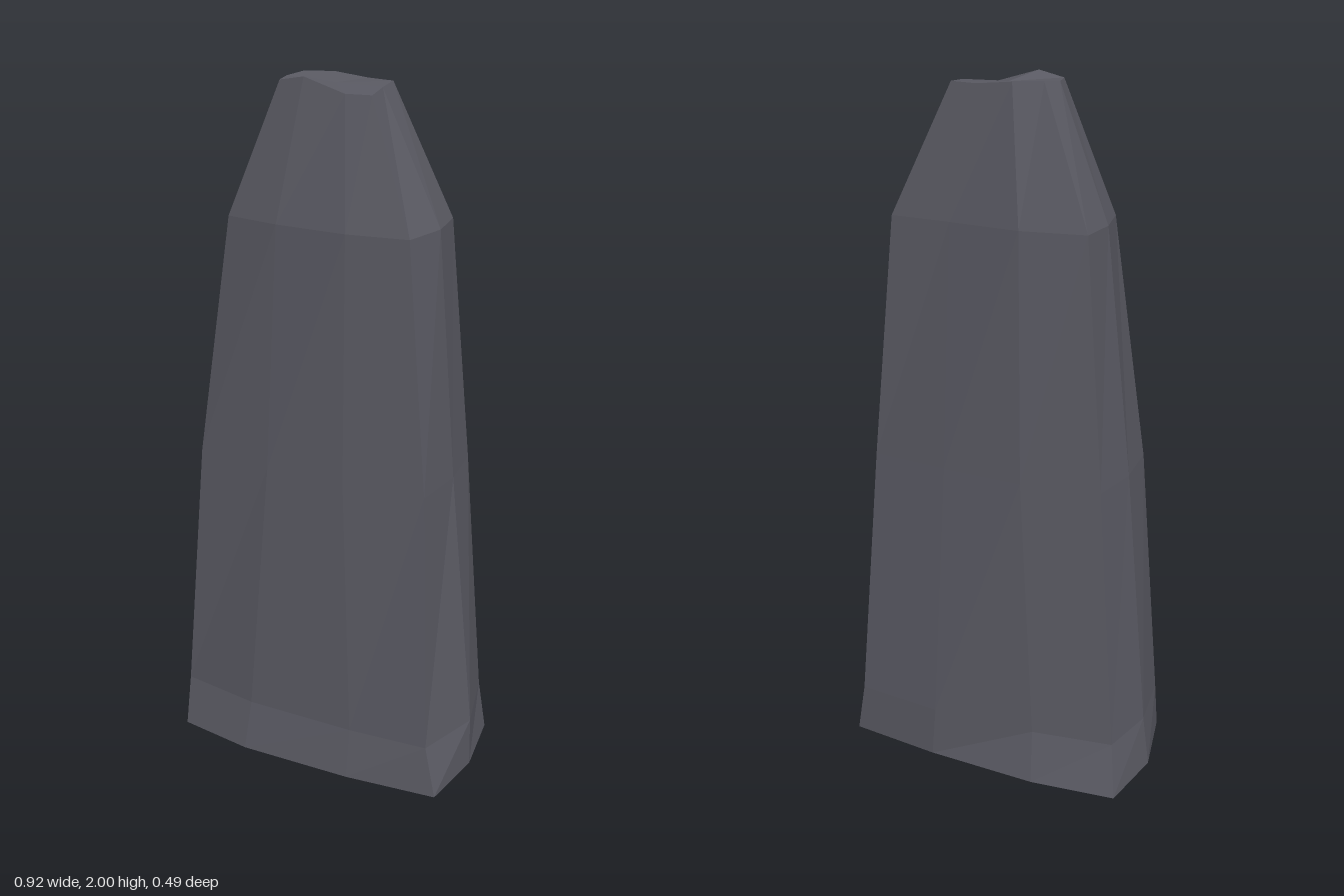
import * as THREE from 'three';

export function createModel() {
  const stone = new THREE.MeshStandardMaterial({ color: 0x5a5a63, flatShading: true });
  stone.name = 'slate grey';

  // Cross-sections from the ground up: [x, z] pairs running left, back, right, front
  const sections = [
    [[-0.46, -0.01], [-0.43, -0.22], [-0.18, -0.247], [0.15, -0.235], [0.425, -0.205],
      [0.458, 0], [0.432, 0.202], [0.16, 0.233], [-0.18, 0.243], [-0.41, 0.21]],
    [[-0.44, -0.01], [-0.405, -0.18], [-0.17, -0.215], [0.14, -0.23], [0.4, -0.205],
      [0.455, 0], [0.395, 0.19], [0.16, 0.21], [-0.17, 0.215], [-0.41, 0.18]],
    [[-0.37, -0.01], [-0.345, -0.16], [-0.12, -0.195], [0.12, -0.185], [0.35, -0.165],
      [0.37, -0.01], [0.355, 0.155], [0.12, 0.18], [-0.12, 0.178], [-0.355, 0.15]],
    [[-0.29, -0.01], [-0.283, -0.135], [-0.1, -0.165], [0.11, -0.148], [0.29, -0.14],
      [0.31, -0.01], [0.283, 0.125], [0.11, 0.15], [-0.1, 0.143], [-0.262, 0.117]],
    [[-0.147, -0.01], [-0.13, -0.073], [-0.055, -0.107], [0.05, -0.104], [0.13, -0.088],
      [0.137, -0.01], [0.143, 0.065], [0.07, 0.075], [-0.05, 0.074], [-0.128, 0.062]],
  ];
  const levels = [0, 0.15, 0.92, 1.62];
  // The broken tip has an uneven rim
  const rim = [1.985, 1.99, 1.99, 1.98, 1.98, 1.975, 1.965, 1.965, 2, 1.985];
  const n = rim.length;

  const positions = [];
  sections.forEach((ring, k) => ring.forEach(([x, z], i) => positions.push(x, levels[k] ?? rim[i], z)));
  const baseCentre = positions.length / 3;
  positions.push(0, 0, 0, 0, 1.977, -0.01);

  // Sides, then fans closing the base and the tip
  const index = [];
  const last = (sections.length - 1) * n;
  for (let i = 0; i < n; i++) {
    const j = (i + 1) % n;
    for (let k = 0; k < last; k += n) {
      index.push(k + j, k + i, k + n + i, k + j, k + n + i, k + n + j);
    }
    index.push(baseCentre, i, j, baseCentre + 1, last + j, last + i);
  }

  const indexed = new THREE.BufferGeometry();
  indexed.setAttribute('position', new THREE.Float32BufferAttribute(positions, 3));
  indexed.setIndex(index);
  const geometry = indexed.toNonIndexed();
  geometry.computeVertexNormals();

  const body = new THREE.Mesh(geometry, stone);
  body.name = 'standingStone';
  const group = new THREE.Group();
  group.name = 'monolith';
  group.add(body);
  return group;
}
